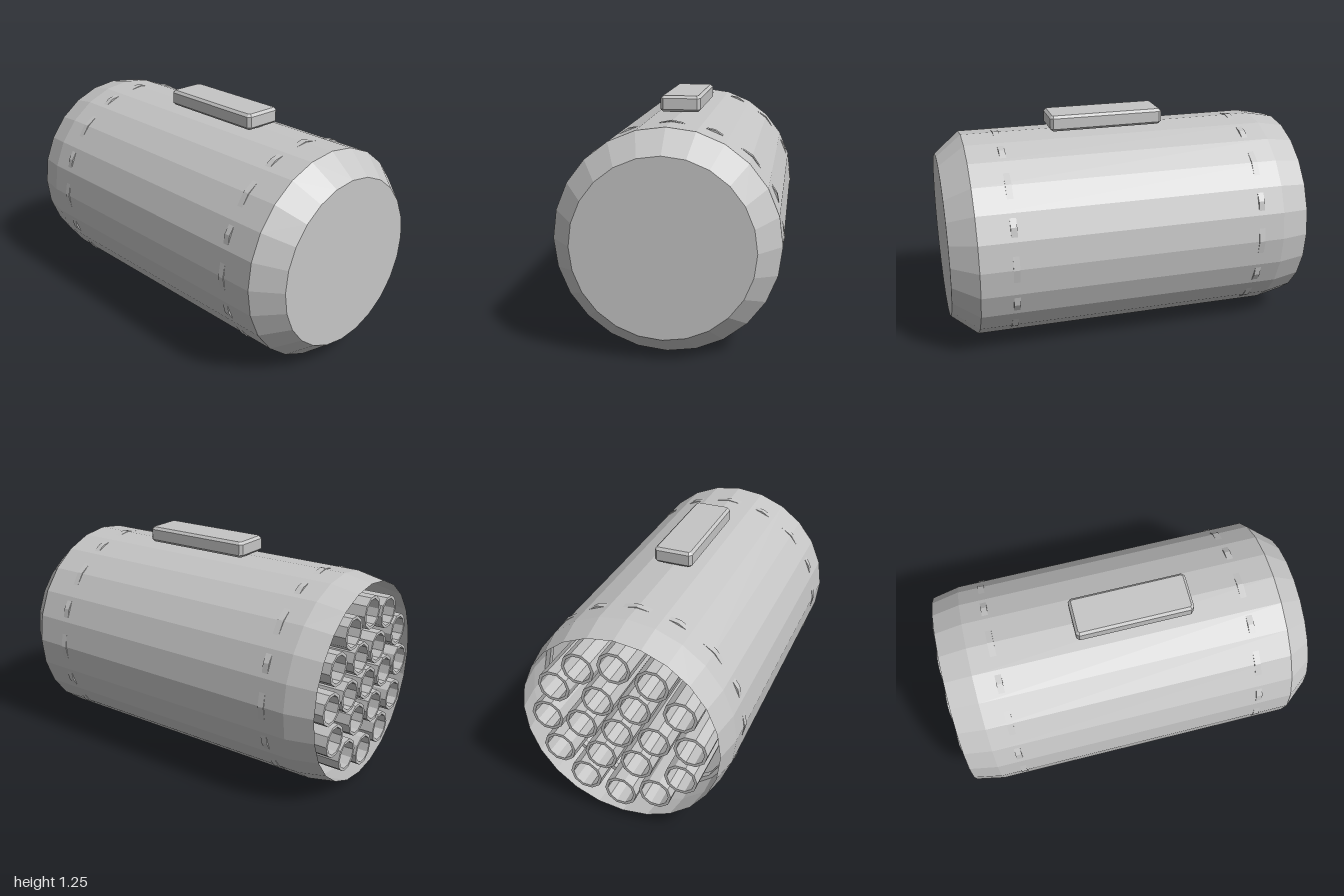
import * as THREE from 'three';

const CENTER_Y = 0.58;

export function createModel() {
  const model = new THREE.Group();
  model.name = 'tubePod';

  const grey = new THREE.MeshStandardMaterial({ color: 0xc5c5c5 });
  grey.name = 'light grey metal';
  grey.flatShading = true;
  grey.side = THREE.DoubleSide;

  // Faceted mesh helper
  const add = (parent, name, geometry, x = 0, y = 0, z = 0) => {
    const faceted = geometry.index ? geometry.toNonIndexed() : geometry;
    faceted.computeVertexNormals();
    const mesh = new THREE.Mesh(faceted, grey);
    mesh.name = name;
    mesh.position.set(x, y, z);
    parent.add(mesh);
    return mesh;
  };

  // Profile of [radius, z] pairs turned about the long axis
  const turned = (profile, sides) =>
    new THREE.LatheGeometry(profile.map(([r, z]) => new THREE.Vector2(r, z)), sides)
      .rotateX(Math.PI / 2);

  // Casing: open at the back, chamfered and closed at the front
  add(model, 'casing', turned([
    [0.545, -0.985], [0.575, -0.83], [0.575, 0.86], [0.46, 1], [0, 1],
  ], 24), 0, CENTER_Y);

  // Two flat hoops whose corners just break through the casing
  const hoop = turned([
    [0.555, -0.017], [0.58, -0.017], [0.58, 0.017], [0.555, 0.017], [0.555, -0.017],
  ], 16);
  add(model, 'frontHoop', hoop, 0, CENTER_Y, 0.67);
  add(model, 'rearHoop', hoop, 0, CENTER_Y, -0.7);

  // Launch tubes: one in the middle, then rings of six and twelve
  const tubes = new THREE.Group();
  tubes.name = 'tubes';
  tubes.position.y = CENTER_Y;
  model.add(tubes);
  const tube = turned([
    [0, 0.82], [0.074, 0.82], [0.074, -1], [0.09, -1], [0.09, 0.85],
  ], 10).rotateZ(Math.PI / 2);
  for (const [count, radius] of [[1, 0], [6, 0.2], [12, 0.395]]) {
    for (let i = 0; i < count; i++) {
      const a = (i / count) * Math.PI * 2;
      add(tubes, 'tube', tube, Math.cos(a) * radius, Math.sin(a) * radius);
    }
  }

  // Mounting block on top, chamfered on every edge
  const bevel = 0.014, w = 0.108 - bevel, l = 0.319 - bevel, c = 0.008;
  const outline = new THREE.Shape([
    [w - c, -l], [w, -l + c], [w, l - c], [w - c, l],
    [-w + c, l], [-w, l - c], [-w, -l + c], [-w + c, -l],
  ].map(([x, y]) => new THREE.Vector2(x, y)));
  const block = new THREE.ExtrudeGeometry(outline, {
    depth: 0.087 - 2 * bevel, bevelEnabled: true, bevelSegments: 1,
    bevelSize: bevel, bevelThickness: bevel,
  }).rotateX(-Math.PI / 2);
  add(model, 'mountingBlock', block, 0, 1.16 + bevel, 0.062);

  return model;
}
